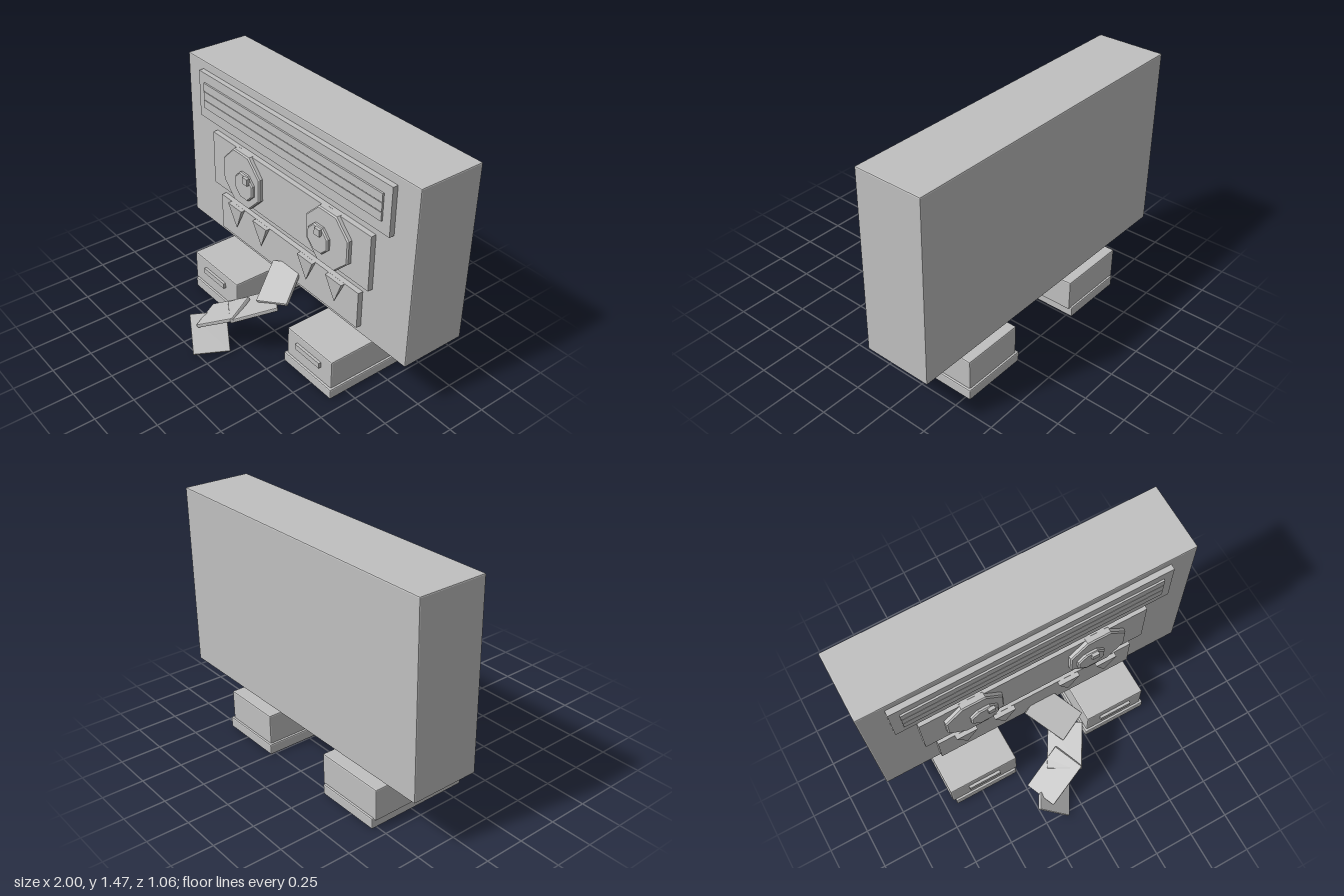
import * as THREE from 'three';
import { RoundedBoxGeometry } from 'three/addons/geometries/RoundedBoxGeometry.js';

export function createModel() {
  const model = new THREE.Group();
  const grey = new THREE.MeshStandardMaterial({ color: 0xc0c0c0 });
  grey.name = 'plainGrey';

  // flat facet normals for every part
  function add(name, geometry) {
    const g = geometry.index ? geometry.toNonIndexed() : geometry;
    g.computeVertexNormals();
    const mesh = new THREE.Mesh(g, grey);
    mesh.name = name;
    model.add(mesh);
    return mesh;
  }

  // box from its limits, with an optional chamfer
  function block(name, [x0, x1], [y0, y1], [z0, z1], bevel = 0) {
    const size = [x1 - x0, y1 - y0, z1 - z0];
    const mesh = add(name, bevel
      ? new RoundedBoxGeometry(...size, 1, bevel)
      : new THREE.BoxGeometry(...size));
    mesh.position.set((x0 + x1) / 2, (y0 + y1) / 2, (z0 + z1) / 2);
  }

  // chamfered octagonal disc facing +z, r is the distance to a flat side
  function disc(name, x, y, r, z0, z1, bevel) {
    const R = r / Math.cos(Math.PI / 8);
    const profile = [
      [0, z0], [R - bevel, z0], [R, z0 + bevel],
      [R, z1 - bevel], [R - bevel, z1], [0, z1],
    ].map(([a, b]) => new THREE.Vector2(a, b));
    const mesh = add(name, new THREE.LatheGeometry(profile, 8, Math.PI / 8));
    mesh.rotation.x = Math.PI / 2;
    mesh.position.set(x, y, 0);
  }

  // tilted plate from one corner and its two edge vectors
  function plate(name, corner, along, across, thickness = 0.025) {
    const c = new THREE.Vector3(...corner);
    const u = new THREE.Vector3(...along);
    const v = new THREE.Vector3(...across);
    const mesh = add(name, new RoundedBoxGeometry(u.length(), thickness, v.length(), 1, 0.006));
    mesh.position.copy(c).addScaledVector(u, 0.5).addScaledVector(v, 0.5);
    const ux = u.clone().normalize();
    const n = v.clone().cross(u).normalize();
    const w = ux.clone().cross(n);
    mesh.quaternion.setFromRotationMatrix(new THREE.Matrix4().makeBasis(ux, n, w));
  }

  // body and front panels
  block('body', [-1, 1], [0.35, 1.47], [-0.535, -0.113], 0.007);
  block('browPanel', [-0.842, 0.842], [1.12, 1.417], [-0.13, -0.08]);
  block('eyePanel', [-0.714, 0.714], [0.704, 1.057], [-0.13, -0.08]);
  block('mouthPanel', [-0.642, 0.642], [0.406, 0.645], [-0.13, -0.08]);

  // brow bars
  for (const y of [1.219, 1.275, 1.331])
    block('browBar', [-0.785, 0.785], [y - 0.026, y + 0.026], [-0.09, -0.069]);

  // eyes, pupils and glints
  for (const [eyeX, pupilX, glintX] of [[-0.395, -0.345, -0.308], [0.392, 0.34, 0.355]]) {
    disc('eye', eyeX, 0.88, 0.178, -0.1, -0.052, 0.008);
    disc('pupil', pupilX, 0.86, 0.086, -0.07, -0.031, 0.008);
    block('glint', [glintX - 0.022, glintX + 0.022], [0.897, 0.941], [-0.035, -0.014]);
  }

  // downward pointed teeth
  for (const x of [-0.468, -0.217, 0.212, 0.463]) {
    const tooth = add('tooth', new THREE.ConeGeometry(Math.SQRT2, 0.155, 4, 1, false, Math.PI / 4));
    tooth.scale.set(0.068, 1, 0.014);
    tooth.rotation.z = Math.PI;
    tooth.position.set(x, 0.568, -0.065);
  }

  // folded tongue
  plate('tongueRoot', [0.21, 0.38, 0.09], [-0.18, -0.043, 0.086], [-0.1, 0.12, -0.245]);
  plate('tongueMiddle', [0.07, 0.3, 0.364], [0.14, 0.065, -0.24], [-0.187, -0.03, -0.097]);
  plate('tongueFold', [-0.177, 0.145, 0.452], [0.247, 0.165, -0.091], [-0.073, 0.03, -0.185]);
  plate('tongueTip', [-0.11, 0.012, 0.525], [-0.158, 0.165, -0.088], [0.115, 0, -0.19]);

  // legs and shoes
  for (const [leg, upper, sole, buckle] of [
    [-0.468, [-0.694, -0.243], [-0.677, -0.257], -0.469],
    [0.461, [0.264, 0.658], [0.25, 0.672], 0.461],
  ]) {
    block('leg', [leg - 0.033, leg + 0.033], [0.24, 0.37], [-0.391, -0.254], 0.005);
    block('shoeUpper', upper, [0.06, 0.256], [-0.522, 0.105], 0.008);
    block('shoeSole', sole, [0.003, 0.07], [-0.535, 0.12], 0.008);
    block('shoeBuckle', [buckle - 0.106, buckle + 0.106], [0.163, 0.199], [0.09, 0.122]);
  }

  return model;
}
